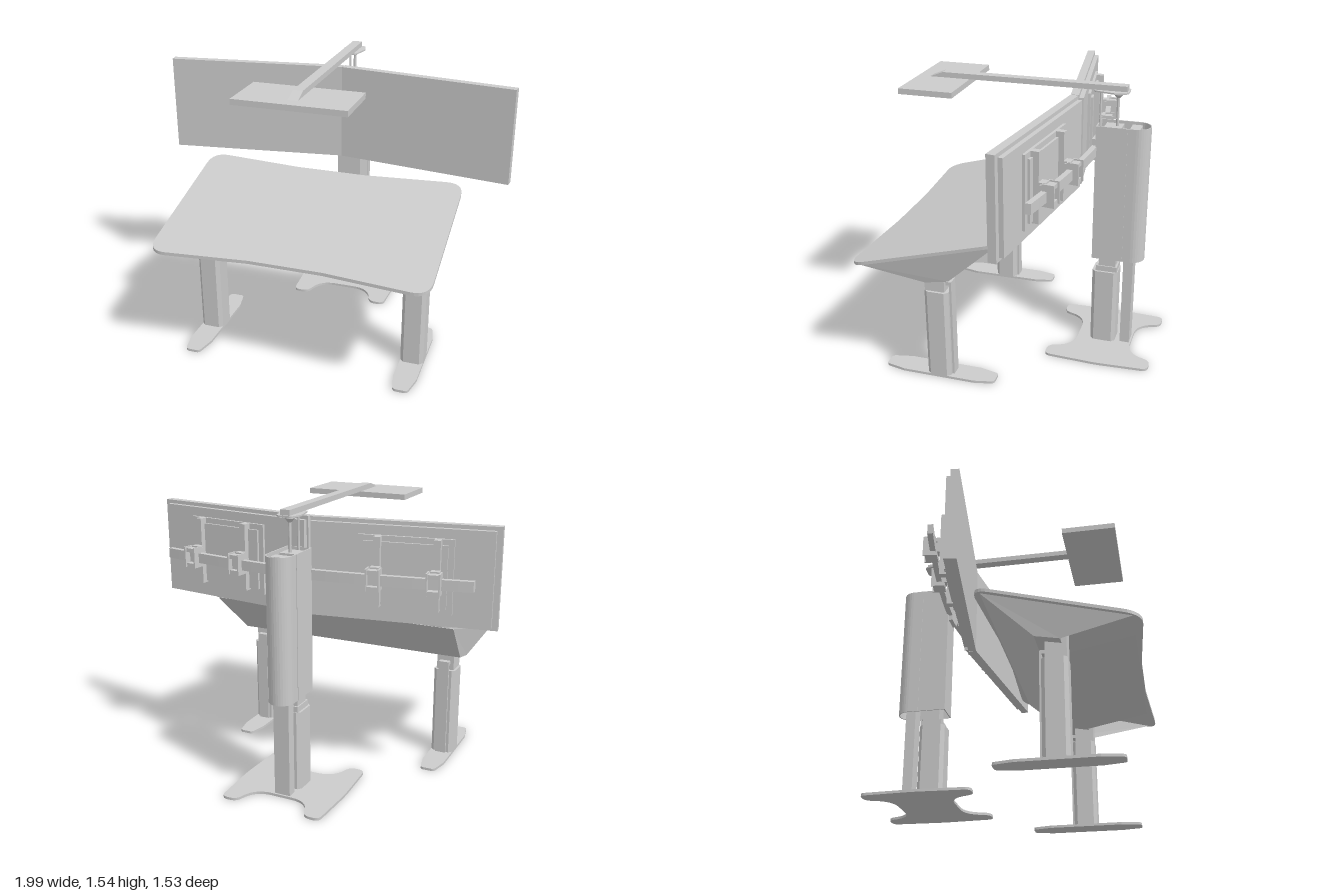
import * as THREE from 'three';

const mat = new THREE.MeshStandardMaterial({ color: 0xcccccc, flatShading: true, side: THREE.DoubleSide });

export function createModel() {
  const root = new THREE.Group();

  const add = (name, geo, parent = root) => {
    const m = new THREE.Mesh(geo, mat);
    m.name = name;
    parent.add(m);
    return m;
  };
  // box given by its limits on each axis
  const box = (name, [x0, x1], [y0, y1], [z0, z1], parent) =>
    add(name, new THREE.BoxGeometry(x1 - x0, y1 - y0, z1 - z0)
      .translate((x0 + x1) / 2, (y0 + y1) / 2, (z0 + z1) / 2), parent);
  const rod = (name, r0, r1, y0, y1, x, z) =>
    add(name, new THREE.CylinderGeometry(r1, r0, y1 - y0, 16).translate(x, (y0 + y1) / 2, z));
  // closed outline in plan from [x, z, cornerRadius]
  const outline = (pts, Type = THREE.Shape) => {
    const s = new Type();
    const v = pts.map(([x, z]) => new THREE.Vector2(x, -z));
    pts.forEach(([, , r = 0], i) => {
      const p = v[i], a = v[(i + pts.length - 1) % pts.length], b = v[(i + 1) % pts.length];
      const p0 = p.clone().add(a.clone().sub(p).setLength(r));
      const p1 = p.clone().add(b.clone().sub(p).setLength(r));
      if (i) s.lineTo(p0.x, p0.y); else s.moveTo(p0.x, p0.y);
      if (r) s.quadraticCurveTo(p.x, p.y, p1.x, p1.y);
    });
    s.closePath();
    return s;
  };
  const slab = (shape, y0, y1) =>
    new THREE.ExtrudeGeometry(shape, { depth: y1 - y0, bevelEnabled: false, curveSegments: 8 })
      .rotateX(-Math.PI / 2).translate(0, y0, 0);
  const mirrorPlan = (half) => half.concat(half.slice().reverse().map(([x, z, r]) => [-x, z, r]));
  // flat polygon from its corners
  const panel = (name, pts) => {
    const g = new THREE.BufferGeometry();
    g.setAttribute('position', new THREE.Float32BufferAttribute(pts.flat(), 3));
    const idx = [];
    for (let i = 1; i < pts.length - 1; i++) idx.push(0, i, i + 1);
    g.setIndex(idx);
    const flat = g.toNonIndexed();
    flat.computeVertexNormals();
    return add(name, flat);
  };

  // Tilted desk top
  const top = slab(outline(mirrorPlan([
    [0.2, -0.05], [0.755, -0.085, 0.1], [0.755, 0.77, 0.1], [0.2, 0.73],
  ])), -0.009, 0.009);
  const p = top.attributes.position;
  for (let i = 0; i < p.count; i++) p.setY(i, p.getY(i) + 0.79 - 0.275 * (p.getZ(i) - 0.34));
  top.computeVertexNormals();
  add('deskTop', top);

  // Folded tray under the desk
  panel('trayRear', [[-0.7, 0.63, 0.23], [-0.735, 0.882, -0.04], [0.735, 0.882, -0.04], [0.7, 0.63, 0.23]]);
  panel('trayBottom', [[-0.7, 0.605, 0.36], [-0.7, 0.63, 0.23], [0.7, 0.63, 0.23], [0.7, 0.605, 0.36]]);
  panel('trayFront', [[-0.53, 0.676, 0.72], [-0.53, 0.605, 0.36], [0.53, 0.605, 0.36], [0.53, 0.676, 0.72]]);

  for (const s of [1, -1]) {
    const span = (a, b) => (s > 0 ? [a, b] : [-b, -a]);
    const pts = [[0.735, 0.676, 0.72], [0.7, 0.605, 0.36], [0.7, 0.63, 0.23], [0.735, 0.882, -0.04]]
      .map(([x, y, z]) => [s * x, y, z]);
    panel('trayEnd', s > 0 ? pts : pts.reverse());

    // Desk legs: telescopic column on a flat foot
    const cx = s * 0.6;
    add('legOuter', slab(outline([
      [cx - 0.064, 0.275], [cx - 0.045, 0.255], [cx + 0.045, 0.255], [cx + 0.064, 0.275],
      [cx + 0.064, 0.37], [cx + 0.045, 0.39], [cx - 0.045, 0.39], [cx - 0.064, 0.37],
    ]), 0.012, 0.53));
    box('legInner', span(0.55, 0.65), [0.53, 0.72], [0.275, 0.385]);
    box('legCableCover', span(0.57, 0.63), [0.012, 0.585], [0.243, 0.255]);
    box('legCableTab', span(0.57, 0.63), [0.565, 0.585], [0.25, 0.28]);
    add('foot', slab(outline([
      [cx - 0.04, 0.01, 0.02], [cx + 0.04, 0.01, 0.02], [cx + 0.064, 0.12], [cx + 0.064, 0.53],
      [cx + 0.04, 0.645, 0.02], [cx - 0.04, 0.645, 0.02], [cx - 0.064, 0.53], [cx - 0.064, 0.12],
    ]), 0, 0.014));

    // One half of the angled screen
    const half = new THREE.Group();
    half.name = 'screenHalf';
    half.position.z = -0.23;
    half.rotation.y = -s * 0.136;
    root.add(half);
    box('screen', span(0, 1), [0.935, 1.47], [-0.045, 0], half);
    box('screenBack', span(0.01, 0.97), [0.955, 1.45], [-0.07, -0.045], half);
    box('mountPlate', span(0.27, 0.77), [1.01, 1.4], [-0.085, -0.07], half);
    box('mountPlateRaised', span(0.3, 0.74), [1.04, 1.37], [-0.098, -0.085], half);
    for (const x of [0.38, 0.69]) {
      box('mountBar', span(x - 0.018, x + 0.018), [1.03, 1.4], [-0.128, -0.085], half);
      box('mountArm', span(x - 0.024, x + 0.024), [1.165, 1.25], [-0.165, -0.128], half);
      for (const y of [1.135, 1.22])
        box('railClamp', span(x - 0.036, x + 0.036), [y, y + 0.022], [-0.205, -0.14], half);
      for (const d of [-0.033, 0.033])
        box('clampHook', span(x + d - 0.004, x + d + 0.004), [1.135, 1.25], [-0.215, -0.15], half);
    }
  }

  // Bowed rail carrying both screens
  const rail = new THREE.Shape();
  const railZ = (x) => -0.365 + 0.12 * Math.pow(Math.abs(x) / 0.9, 1.5);
  for (let i = 0; i <= 24; i++) rail.lineTo(-0.9 + i * 0.075, -railZ(-0.9 + i * 0.075) + 0.002);
  for (let i = 24; i >= 0; i--) rail.lineTo(-0.9 + i * 0.075, -railZ(-0.9 + i * 0.075) + 0.032);
  rail.curves.shift();
  rail.closePath();
  add('screenRail', slab(rail, 1.16, 1.215));
  box('railBracket', [-0.05, 0.05], [1.13, 1.25], [-0.4, -0.365]);

  // Screen stand base
  add('standBase', slab(outline(mirrorPlan([
    [0.16, -0.63, 0.1], [0.2, -0.77, 0.04], [0.29, -0.77, 0.035], [0.305, -0.475, 0.05],
    [0.29, -0.175, 0.035], [0.2, -0.175, 0.04], [0.16, -0.315, 0.1],
  ])), 0, 0.014));

  // Telescopic stand column with a rear post
  add('standColumn', slab(outline(mirrorPlan([
    [0.045, -0.535], [0.064, -0.515], [0.064, -0.41], [0.045, -0.39],
  ])), 0.014, 0.465));
  box('standColumnCollar', [-0.052, 0.052], [0.465, 0.497], [-0.53, -0.41]);
  box('standColumnInner', [-0.045, 0.045], [0.497, 1.32], [-0.52, -0.425]);
  box('standPost', [-0.045, 0.045], [0.03, 1.32], [-0.62, -0.565]);
  box('standPostPad', [-0.045, 0.045], [0.012, 0.03], [-0.62, -0.565]);

  // Hollow housing: square front, round back
  const ring = (r, front, Type) => {
    const q = [[r, front], [-r, front]];
    for (let i = 0; i <= 16; i++) {
      const a = Math.PI * (1 + i / 16);
      q.push([Math.cos(a) * r, -0.605 + Math.sin(a) * r]);
    }
    return outline(q, Type);
  };
  const housing = ring(0.07, -0.388);
  housing.holes.push(ring(0.064, -0.394, THREE.Path));
  add('standHousing', slab(housing, 0.55, 1.33));
  for (const s of [1, -1])
    box('housingSeam', s > 0 ? [0.068, 0.073] : [-0.073, -0.068], [0.55, 1.33], [-0.56, -0.545]);

  // Overhead lamp on a long arm
  rod('lampRodFront', 0.006, 0.006, 1.25, 1.51, 0, -0.396);
  rod('lampRod', 0.008, 0.008, 1.32, 1.48, 0, -0.49);
  rod('lampRodFlare', 0.01, 0.026, 1.475, 1.495, 0, -0.49);
  rod('lampRodCap', 0.026, 0.026, 1.495, 1.512, 0, -0.49);
  add('lampMount', slab(outline(mirrorPlan([
    [0.045, -0.55, 0.02], [0.065, -0.48], [0.04, -0.365, 0.015],
  ])), 1.508, 1.516));
  const side = new THREE.Shape([[-0.54, 1.516], [0.565, 1.516], [0.49, 1.545], [-0.54, 1.545]]
    .map(([z, y]) => new THREE.Vector2(-z, y)));
  add('lampArm', new THREE.ExtrudeGeometry(side, { depth: 0.054, bevelEnabled: false })
    .translate(0, 0, -0.027).rotateY(Math.PI / 2));
  box('lampPanel', [-0.3, 0.3], [1.485, 1.516], [0.333, 0.635]);

  return root;
}
